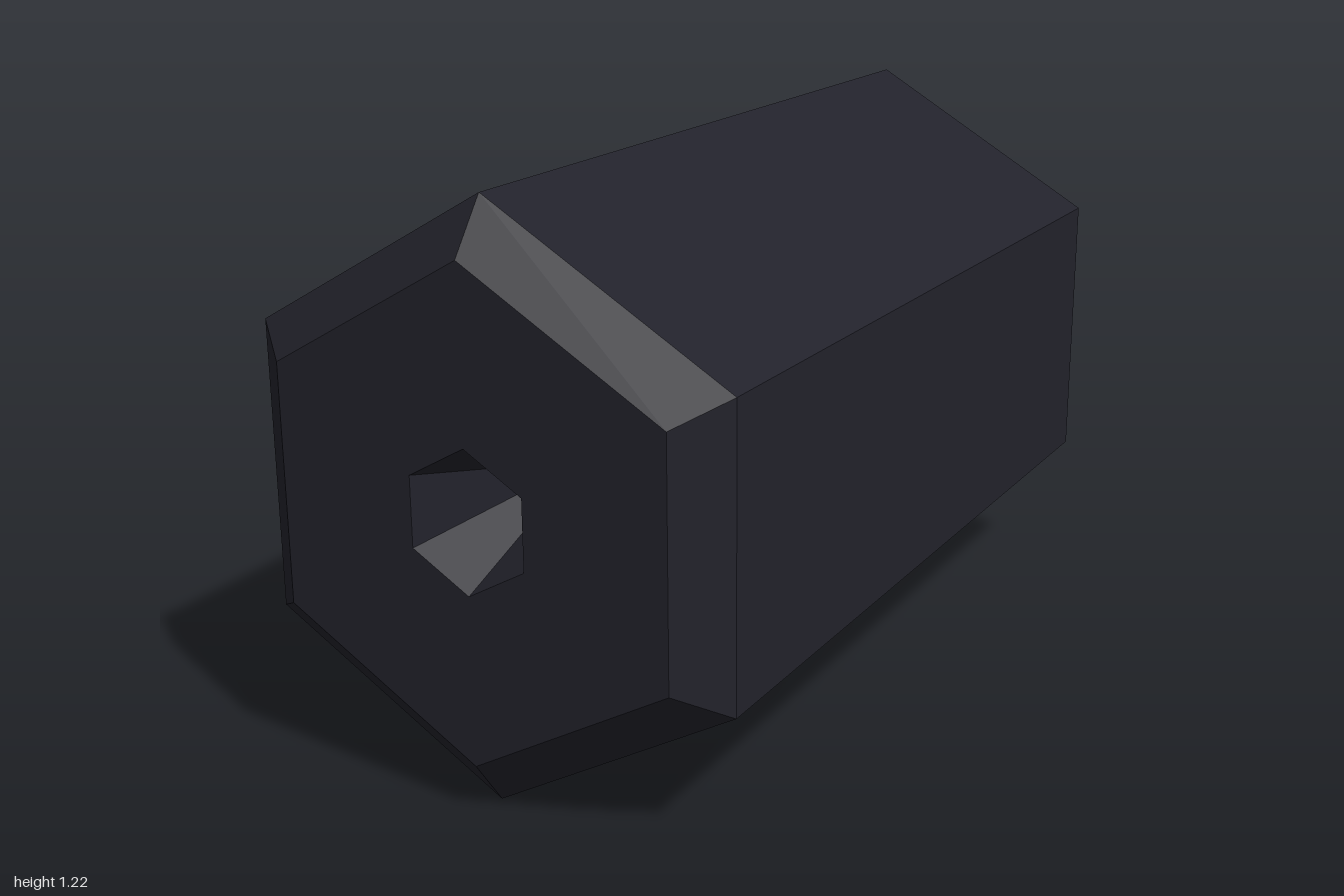
import * as THREE from 'three';

const charcoal = new THREE.MeshStandardMaterial({ color: 0x22222b, flatShading: true });
charcoal.name = 'charcoal';

// Six-sided part turned around the z axis; profile is [radius, z] from back to front
function hexPart(name, profile) {
  const points = profile.map(([r, z]) => new THREE.Vector2(r, z));
  const geometry = new THREE.LatheGeometry(points, 6).rotateX(Math.PI / 2);
  const mesh = new THREE.Mesh(geometry, charcoal);
  mesh.name = name;
  return mesh;
}

export function createModel() {
  const group = new THREE.Group();
  group.name = 'hexBarrel';

  const R = 0.612; // corner radius of the body
  const neckR = 0.29, backHoleR = 0.198, frontHoleR = 0.147;

  group.add(
    // Tapered back shoulder, long prism and chamfered front rim
    hexPart('body', [[neckR, -0.93], [R, -0.847], [R, 0.92], [0.503, 1]]),
    // Flat front face around the hole
    hexPart('frontFace', [[0.503, 1], [frontHoleR, 1]]),
    // Pointed recess in the front
    hexPart('frontSocket', [[frontHoleR, 1], [0, 0.6]]),
    // Short collar at the back with its end ring
    hexPart('neck', [[backHoleR, -1], [neckR, -1], [neckR, -0.93]]),
    // Pointed recess in the back
    hexPart('backSocket', [[0, -0.57], [backHoleR, -1]])
  );

  for (const part of group.children) part.position.y = R;
  return group;
}
